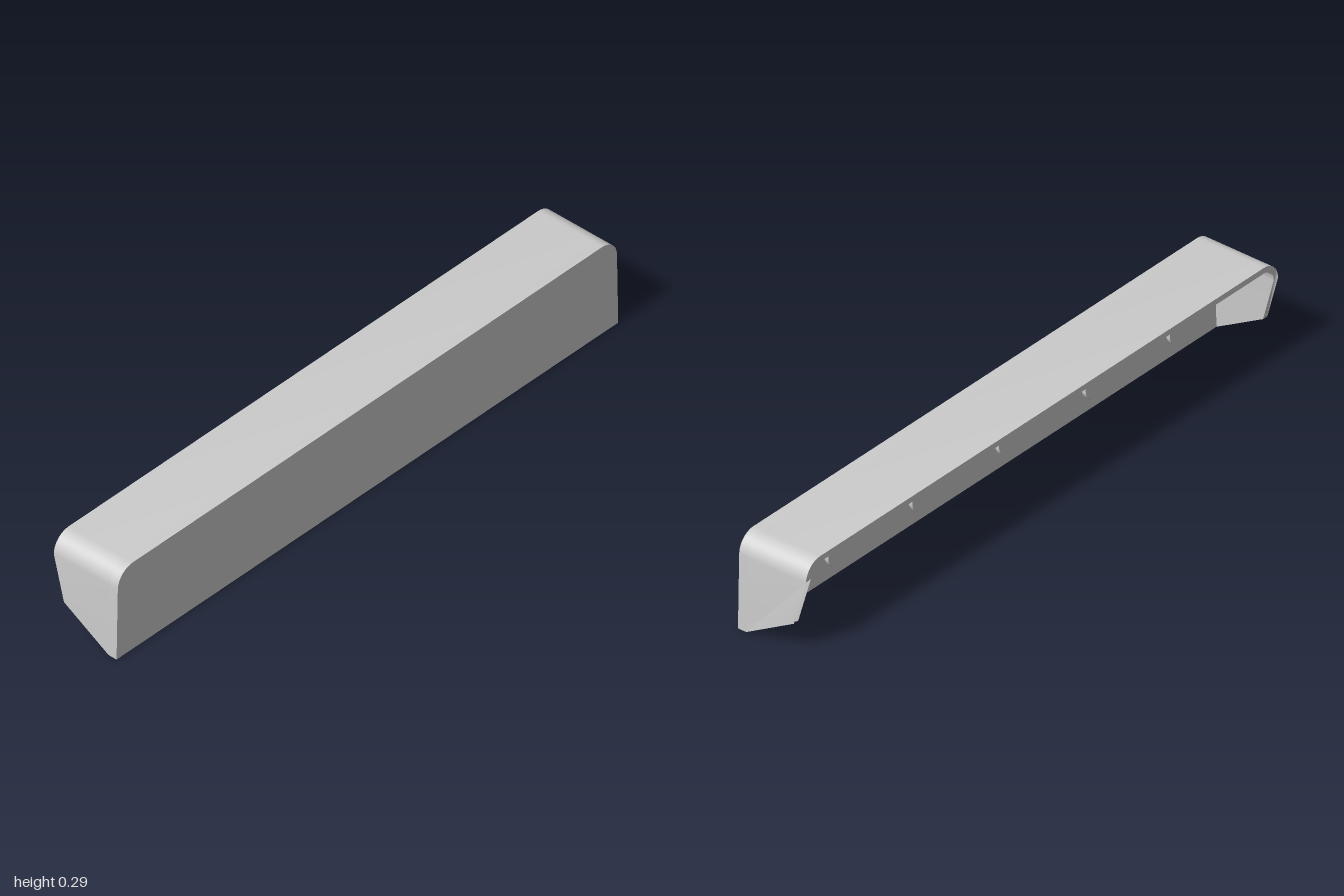
import * as THREE from 'three';
import { toCreasedNormals } from 'three/addons/utils/BufferGeometryUtils.js';

const TOP = 0.295, FRONT = -0.117, BACK = 0.117, PLATE = 0.088;
const RADIUS = 0.06, WALL = 0.018;
const SHOULDER = TOP - RADIUS, KNEE = 0.093;

// Half of the arch seen from the side, from the floor up to the end of the round corner
function halfArch(inset) {
  const r = RADIUS - inset, end = 1 - inset, pts = [];
  for (const y of [0, KNEE, SHOULDER]) pts.push(new THREE.Vector2(end - 0.005 * y / SHOULDER, y));
  for (let i = 1; i <= 10; i++) {
    const a = (i / 10) * Math.PI / 2;
    pts.push(new THREE.Vector2(0.935 + r * Math.cos(a), SHOULDER + r * Math.sin(a)));
  }
  return pts;
}

function arch(inset) {
  const half = halfArch(inset);
  const mirrored = half.map(p => new THREE.Vector2(-p.x, p.y)).reverse();
  return [...half, ...mirrored];
}

// Front edge of the end cheeks at a given height
function frontEdge(y) {
  if (y >= SHOULDER) return FRONT;
  if (y >= KNEE) return THREE.MathUtils.mapLinear(y, KNEE, SHOULDER, -0.077, FRONT);
  return THREE.MathUtils.mapLinear(y, 0, KNEE, PLATE, -0.077);
}

// Extrudes a z-y outline along x
function extrudeAlongX(points, x0, x1) {
  const geo = new THREE.ExtrudeGeometry(new THREE.Shape(points), { depth: x1 - x0, bevelEnabled: false });
  return geo.rotateY(Math.PI / 2).translate(x0, 0, 0);
}

export function createModel() {
  const group = new THREE.Group();
  const material = new THREE.MeshStandardMaterial({ color: 0xcccccc, side: THREE.DoubleSide });
  const add = (name, geo) => {
    const mesh = new THREE.Mesh(geo, material);
    mesh.name = name;
    group.add(mesh);
    return mesh;
  };

  // Wall plate
  add('backPlate', toCreasedNormals(extrudeAlongX(arch(0), PLATE, BACK), 0.6));

  // Shelf and both cheeks as one bent board, its front edge cut to the cheek profile
  const shell = extrudeAlongX([...arch(0), ...arch(WALL).reverse()], FRONT, PLATE);
  const pos = shell.attributes.position;
  for (let i = 0; i < pos.count; i++) {
    if (pos.getX(i) < 0) pos.setX(i, frontEdge(pos.getY(i)));
  }
  add('shelfAndCheeks', toCreasedNormals(shell, 0.6));

  // Flared coat pegs
  const profile = [
    [0, 0], [0.022, 0], [0.023, 0.025], [0.027, 0.048], [0.034, 0.066],
    [0.041, 0.078], [0.042, 0.084], [0.04, 0.088], [0, 0.088],
  ].map(([r, h]) => new THREE.Vector2(r, h));
  const pegGeo = toCreasedNormals(new THREE.LatheGeometry(profile, 32).rotateZ(Math.PI / 2), 0.7);
  for (const z of [-0.72, -0.365, 0, 0.365, 0.72]) {
    add('peg', pegGeo).position.set(PLATE, 0.153, z);
  }
  return group;
}
